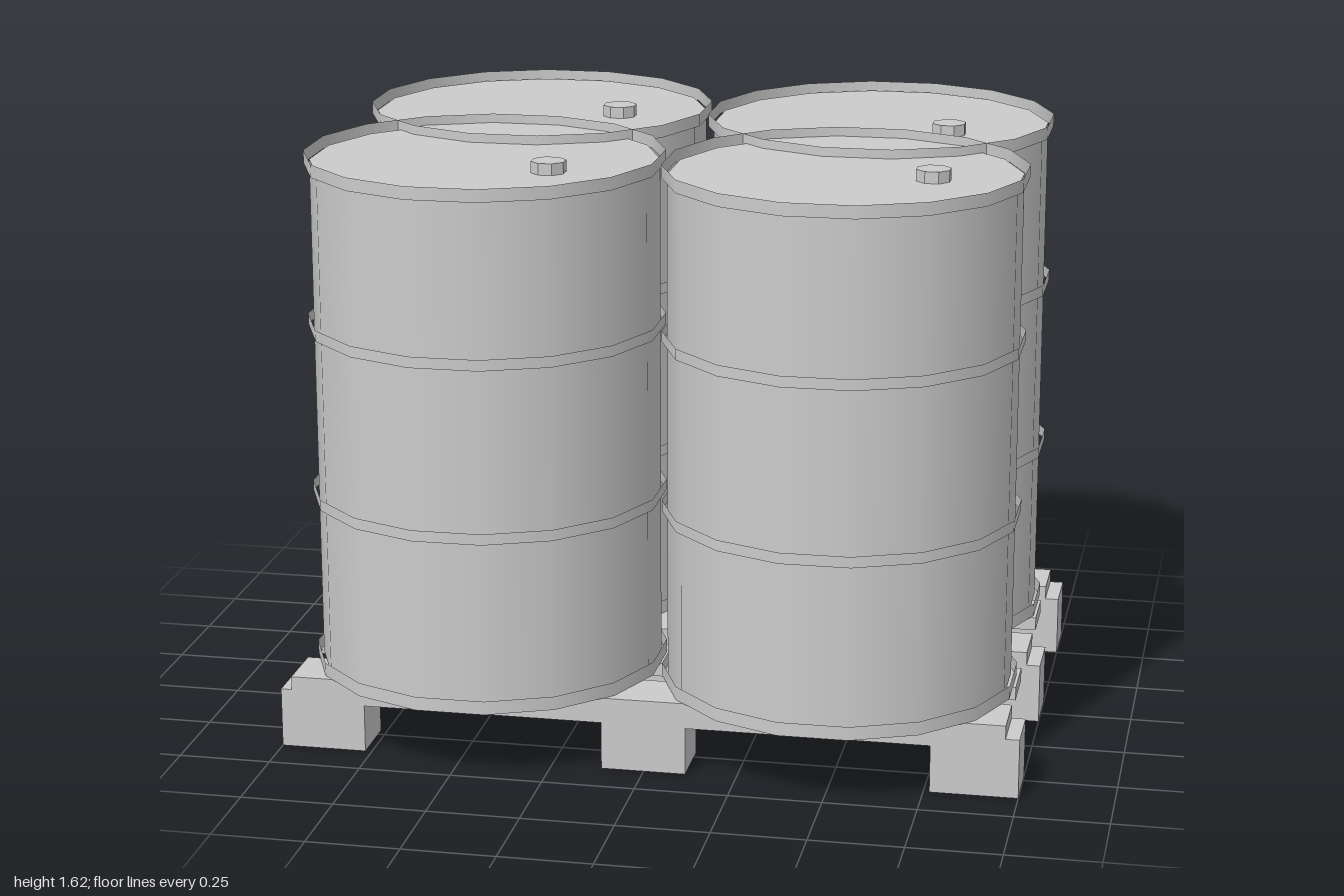
import * as THREE from 'three';

const SIDES = 16;
const DRUM_X = 0.482, DRUM_Z = 0.335;
const BODY_RADIUS = 0.464, HOOP_RADIUS = 0.479;

const grey = new THREE.MeshStandardMaterial({ color: 0xcccccc });
const thinGrey = new THREE.MeshStandardMaterial({ color: 0xcccccc, side: THREE.DoubleSide });

function addMesh(parent, name, geometry, material, x, y, z) {
  const mesh = new THREE.Mesh(geometry, material);
  mesh.name = name;
  mesh.position.set(x, y, z);
  parent.add(mesh);
  return mesh;
}

// Box given by its extents along each axis
function addBox(parent, name, [x0, x1], [y0, y1], [z0, z1]) {
  const geometry = new THREE.BoxGeometry(x1 - x0, y1 - y0, z1 - z0);
  addMesh(parent, name, geometry, grey, (x0 + x1) / 2, (y0 + y1) / 2, (z0 + z1) / 2);
}

// Upright cylinder between two heights, with flat sides square to the axes
function addCylinder(parent, name, radius, sides, y0, y1, open, x = 0, z = 0) {
  const geometry = new THREE.CylinderGeometry(radius, radius, y1 - y0, sides, 1, open, Math.PI / sides);
  return addMesh(parent, name, geometry, open ? thinGrey : grey, x, (y0 + y1) / 2, z);
}

function createPallet() {
  const pallet = new THREE.Group();
  pallet.name = 'pallet';

  // Three runners, each on three feet and topped by a board
  for (const z of [-0.578, -0.015, 0.548]) {
    const depth = [z - 0.078, z + 0.078];
    addBox(pallet, 'runner', [-1, 1], [0.13, 0.163], depth);
    addBox(pallet, 'deckBoard', [-0.97, 0.963], [0.163, 0.2], depth);
    for (const span of [[-1, -0.768], [-0.115, 0.113], [0.766, 1]]) {
      addBox(pallet, 'foot', span, [0, 0.13], depth);
    }
  }

  // Boards between the runners
  for (const z of [-0.3, 0.263]) {
    addBox(pallet, 'deckBoard', [-0.97, 0.96], [0.163, 0.2], [z - 0.075, z + 0.075]);
  }
  return pallet;
}

function createDrum(x, z, capX, capZ) {
  const drum = new THREE.Group();
  drum.name = 'drum';
  drum.position.set(x, 0, z);

  // Body with its lid set below the top rim
  addCylinder(drum, 'drumBody', BODY_RADIUS, SIDES, 0.205, 1.585, false);

  // Open hoops: base rim, two ribs and top rim
  for (const [y0, y1] of [[0.2, 0.237], [0.668, 0.698], [1.135, 1.165], [1.575, 1.61]]) {
    addCylinder(drum, 'hoop', HOOP_RADIUS, SIDES, y0, y1, true);
  }

  // Filler cap
  const cap = addCylinder(drum, 'fillerCap', 0.047, 8, 1.58, 1.616, false, capX - x, capZ - z);
  cap.material = new THREE.MeshStandardMaterial({ color: 0xcccccc, flatShading: true });
  return drum;
}

export function createModel() {
  const model = new THREE.Group();
  model.name = 'drumsOnPallet';
  model.add(createPallet());

  // Each drum has its cap turned to a different place
  model.add(
    createDrum(-DRUM_X, -DRUM_Z, -0.25, -0.3),
    createDrum(DRUM_X, -DRUM_Z, 0.685, -0.22),
    createDrum(-DRUM_X, DRUM_Z, -0.28, 0.46),
    createDrum(DRUM_X, DRUM_Z, 0.715, 0.37),
  );
  return model;
}
